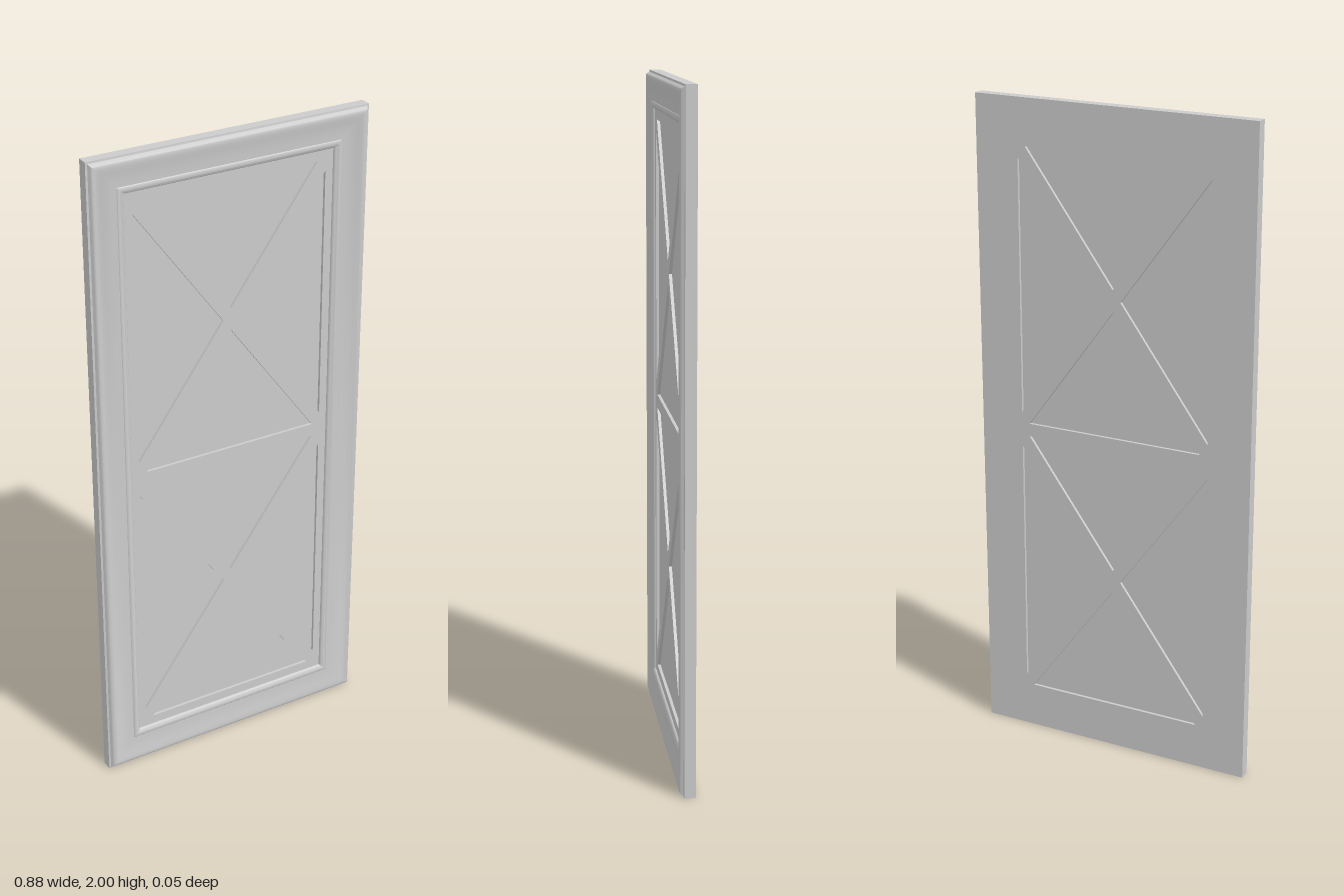
import * as THREE from 'three';
import { toCreasedNormals } from 'three/addons/utils/BufferGeometryUtils.js';

const W = 0.44, H = 1;            // half width and half height of the door
const BACK = -0.023, FACE = 0.005; // back and front planes of the flat frame
const material = new THREE.MeshStandardMaterial({ color: 0xcccccc });

function polygon(points, Type = THREE.Path) {
  return new Type(points.map(([x, y]) => new THREE.Vector2(x, y)));
}

// Four triangular openings left by an X brace in one cell
function cellOpenings(cy, w, h, k) {
  const a = k * w / h;
  const holes = [];
  for (const s of [1, -1]) {
    holes.push([[s * w, cy + h - k], [s * w, cy - h + k], [s * a, cy]]);
    holes.push([[w - a, cy + s * h], [a - w, cy + s * h], [0, cy + s * k]]);
  }
  return holes.map((p) => polygon(p));
}

// Mitred rectangular moulding from [inset, z] profile points
function mouldingGeometry(profile) {
  const positions = [];
  const corners = [[1, 1], [-1, 1], [-1, -1], [1, -1]];
  const point = ([inset, z], [sx, sy]) => [sx * (W - inset), sy * (H - inset), z];
  for (let i = 0; i < profile.length - 1; i++) {
    for (let c = 0; c < 4; c++) {
      const p = corners[c], q = corners[(c + 1) % 4];
      const a = point(profile[i], p), b = point(profile[i], q);
      const d = point(profile[i + 1], p), e = point(profile[i + 1], q);
      positions.push(...a, ...b, ...e, ...a, ...e, ...d);
    }
  }
  const geometry = new THREE.BufferGeometry();
  geometry.setAttribute('position', new THREE.Float32BufferAttribute(positions, 3));
  return toCreasedNormals(geometry, 0.6);
}

export function createModel() {
  const group = new THREE.Group();
  group.name = 'panelDoor';
  const add = (name, geometry) => {
    const mesh = new THREE.Mesh(geometry, material);
    mesh.name = name;
    mesh.position.y = H;
    group.add(mesh);
    return mesh;
  };

  // Frame, middle rail and crossed bars cut from one slab
  const slab = polygon([[-W, -H], [W, -H], [W, H], [-W, H]], THREE.Shape);
  for (const cy of [0.44, -0.44]) slab.holes.push(...cellOpenings(cy, 0.305, 0.42, 0.034));
  const frame = new THREE.ExtrudeGeometry(slab, { depth: FACE - BACK, bevelEnabled: false });
  frame.translate(0, 0, BACK);
  add('frameAndCrossBars', frame);

  // Raised moulding: stepped outer lip, hollow slope and inner bead
  add('frontMoulding', mouldingGeometry([
    [0, FACE], [0, 0.01], [0.006, 0.011], [0.008, 0.014], [0.01, 0.019],
    [0.014, 0.022], [0.02, 0.023], [0.028, 0.022], [0.04, 0.0185], [0.055, 0.015],
    [0.07, 0.013], [0.088, 0.012], [0.09, 0.014], [0.095, 0.0155], [0.101, 0.015],
    [0.107, 0.012], [0.11, 0.008], [0.111, FACE],
  ]));

  // Thin panel set back from both faces
  const panel = new THREE.BoxGeometry(0.64, 1.75, 0.01);
  add('recessedPanel', panel).position.z = -0.009;

  return group;
}
